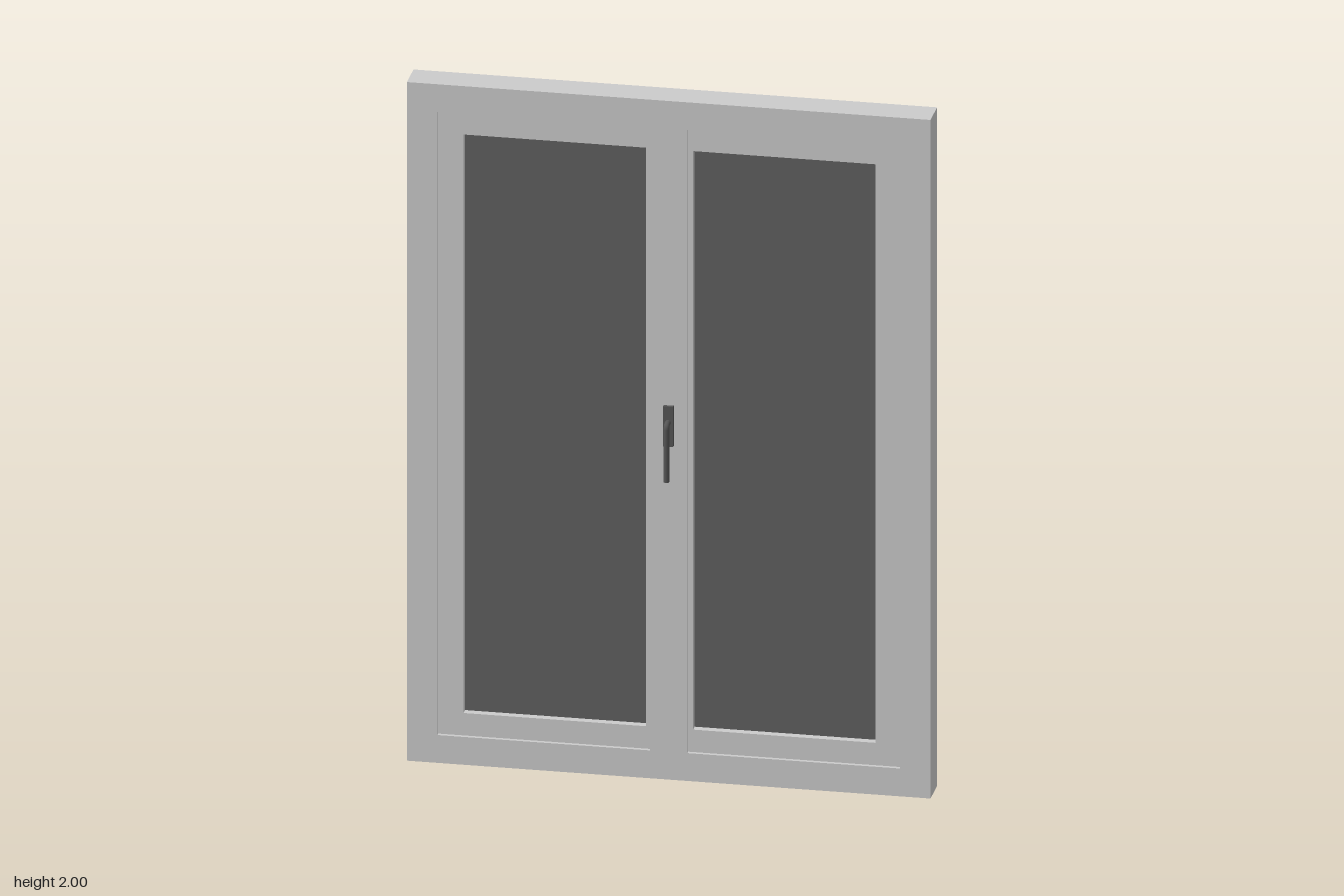
import * as THREE from 'three';

const Z_BACK = -0.067, Z_FRONT = 0.027;      // outer frame depth
const SASH_BACK = -0.055, SASH_FRONT = 0.016; // sash sits slightly recessed

const grey = new THREE.MeshStandardMaterial({ color: 0xcccccc });
const glassDark = new THREE.MeshStandardMaterial({ color: 0x606060 });
const handleDark = new THREE.MeshStandardMaterial({ color: 0x555555 });

function add(parent, name, geometry, material) {
  const mesh = new THREE.Mesh(geometry, material);
  mesh.name = name;
  parent.add(mesh);
  return mesh;
}

// Trace a rectangle on a Shape or Path
function rect(path, x0, y0, x1, y1) {
  path.moveTo(x0, y0);
  path.lineTo(x1, y0);
  path.lineTo(x1, y1);
  path.lineTo(x0, y1);
  path.closePath();
  return path;
}

// Rectangular slab with rectangular openings, from z0 to z1
function panel(outer, holes, z0, z1) {
  const shape = rect(new THREE.Shape(), ...outer);
  for (const h of holes) shape.holes.push(rect(new THREE.Path(), ...h));
  return new THREE.ExtrudeGeometry(shape, { depth: z1 - z0, bevelEnabled: false }).translate(0, 0, z0);
}

function box(x0, y0, z0, x1, y1, z1) {
  return new THREE.BoxGeometry(x1 - x0, y1 - y0, z1 - z0)
    .translate((x0 + x1) / 2, (y0 + y1) / 2, (z0 + z1) / 2);
}

export function createModel() {
  const group = new THREE.Group();
  group.name = 'doubleWindow';

  const opening = [-0.644, 0.082, 0.644, 1.918];
  const panes = [[-0.574, 0.148, -0.066, 1.853], [0.066, 0.148, 0.574, 1.853]];

  // Outer frame, recessed sashes and the flush centre strip
  add(group, 'outerFrame', panel([-0.729, 0, 0.729, 2], [opening], Z_BACK, Z_FRONT), grey);
  add(group, 'sashes', panel(opening, panes, SASH_BACK, SASH_FRONT), grey);
  add(group, 'centreStrip', box(-0.052, 0.082, SASH_FRONT, 0.052, 1.918, Z_FRONT), grey);

  // Glass panes
  panes.forEach(([x0, y0, x1, y1], i) =>
    add(group, i ? 'leftGlass' : 'rightGlass', box(x0, y0, -0.03, x1, y1, -0.006), glassDark));

  // Handle: backplate and a bent lever hanging down
  const handle = new THREE.Group();
  handle.name = 'handle';
  group.add(handle);
  add(handle, 'backplate', box(-0.014, 0.985, Z_FRONT, 0.014, 1.103, 0.037), handleDark);

  const v = (y, z) => new THREE.Vector3(0, y, z);
  const r = 0.008, leverZ = 0.067 - r, topY = 1.056, endY = 0.89;
  const path = new THREE.CurvePath();
  path.add(new THREE.LineCurve3(v(topY, 0.032), v(topY, leverZ - 0.012)));
  path.add(new THREE.QuadraticBezierCurve3(v(topY, leverZ - 0.012), v(topY, leverZ), v(topY - 0.012, leverZ)));
  path.add(new THREE.LineCurve3(v(topY - 0.012, leverZ), v(endY, leverZ)));
  add(handle, 'lever', new THREE.TubeGeometry(path, 60, r, 12), handleDark);
  add(handle, 'leverEnd', new THREE.CircleGeometry(r, 12).rotateX(Math.PI / 2).translate(0, endY, leverZ), handleDark);

  return group;
}
